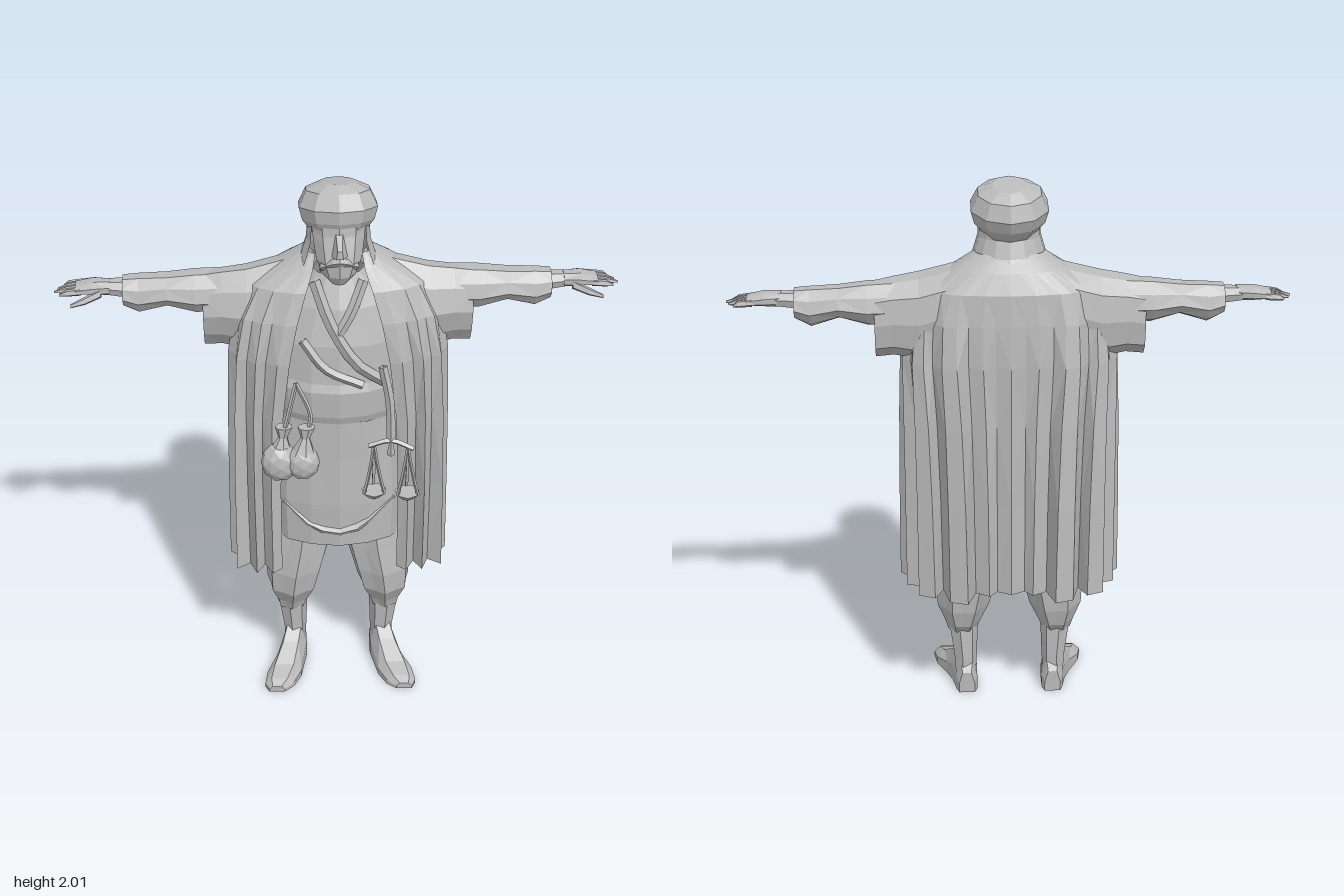
import * as THREE from 'three';

const cloth = new THREE.MeshStandardMaterial({ color: 0xbababa, side: THREE.DoubleSide });
cloth.name = 'plain grey';
const V = (x, y, z) => new THREE.Vector3(x, y, z);

// faceted mesh
function part(name, geo, parent) {
  const g = geo.index ? geo.toNonIndexed() : geo;
  g.computeVertexNormals();
  const m = new THREE.Mesh(g, cloth);
  m.name = name;
  parent.add(m);
  return m;
}

// skin between rows of points
function stitch(rows, closed = true, caps = true) {
  const pos = [], tri = (...p) => p.forEach(v => pos.push(v.x, v.y, v.z));
  const n = rows[0].length;
  for (let i = 0; i + 1 < rows.length; i++)
    for (let j = 0; j < (closed ? n : n - 1); j++) {
      const k = (j + 1) % n, a = rows[i][j], b = rows[i][k], c = rows[i + 1][k], d = rows[i + 1][j];
      if ((i + j) % 2) tri(a, b, c, a, c, d);
      else tri(a, b, d, b, c, d);
    }
  if (closed && caps) [rows[0], rows[rows.length - 1]].forEach((r, e) => {
    const mid = r.reduce((s, p) => s.add(p), V(0, 0, 0)).divideScalar(n);
    r.forEach((p, j) => { const q = r[(j + 1) % n]; e ? tri(mid, p, q) : tri(mid, q, p); });
  });
  const g = new THREE.BufferGeometry();
  g.setAttribute('position', new THREE.Float32BufferAttribute(pos, 3));
  return g;
}

// sections: [position on axis, centre u, radius u, centre v, radius v]
function loft(axis, sections, n = 8, pleat = 0, caps = true) {
  const rows = sections.map(([p, cu, ru, cv, rv]) => Array.from({ length: n }, (_, j) => {
    const a = (j + 0.5) / n * Math.PI * 2, f = 1 - (j % 2 ? pleat : 0);
    const u = cu + ru * f * Math.cos(a), s = rv * f * Math.sin(a);
    return axis === 'x' ? V(p, u, cv + s) : axis === 'y' ? V(u, p, cv - s) : V(u, cv + s, p);
  }));
  return stitch(rows, true, caps);
}

// sections given by limits: [position, u min, u max, v min, v max]
const span = (axis, list, n, pleat, caps) => loft(axis, list.map(([p, a, b, c, d]) =>
  [p, (a + b) / 2, (b - a) / 2, (c + d) / 2, (d - c) / 2]), n, pleat, caps);

const cord = (pts, r, sides = 4, steps = 8) =>
  new THREE.TubeGeometry(new THREE.CatmullRomCurve3(pts.map(p => V(...p))), steps, r, sides);

function mirrored(group, name, root) {
  group.name = 'left' + name;
  const other = group.clone();
  other.name = 'right' + name;
  other.scale.x = -1;
  root.add(group, other);
}

// outline of the pleated hem, from front edge to middle of the back
const HEM = [[.25, .06], [.215, .12], [.25, .15], [.28, .09], [.31, .145], [.335, .08], [.385, .115],
  [.365, .04], [.41, 0], [.365, -.05], [.385, -.1], [.325, -.12], [.34, -.19], [.28, -.215],
  [.25, -.15], [.225, -.25], [.16, -.272], [.13, -.18], [.08, -.21], [.05, -.175], [0, -.2]];

// levels: [y, half width, front z, back z, front edge x, pleat strength]
function coatGeometry() {
  const levels = [[.49, .385, .14, -.21, .22, 1], [.85, .385, .16, -.2, .21, .85], [1.15, .385, .17, -.2, .18, .65],
    [1.38, .385, .17, -.2, .15, .4], [1.53, .36, .145, -.19, .13, .2], [1.64, .31, .115, -.18, .11, .05],
    [1.71, .2, .08, -.15, .09, 0], [1.76, .12, .05, -.1, .08, 0]];
  const rows = levels.map(([y, w, zf, zb, edge, pleat]) => {
    const a0 = Math.acos(edge / w), last = HEM.length - 1, mid = (zf + zb) / 2, d = (zf - zb) / 2;
    const half = HEM.map(([hx, hz], i) => {
      const a = a0 + (-Math.PI / 2 - a0) * Math.max(0, i - 1) / (last - 1);
      const x = w * Math.cos(a) + (i ? 0 : .02);
      const s = Math.sin(a), z = mid + d * Math.sign(s) * Math.pow(Math.abs(s), .75) - (i ? 0 : .05);
      return V(x + (hx - x) * pleat, y, z + (hz - z) * pleat);
    });
    half[last].x = 0;
    return [...half, ...half.slice(0, last).reverse().map(p => V(-p.x, p.y, p.z))];
  });
  return stitch(rows, false);
}

function arm() {
  const g = new THREE.Group();
  part('wideSleeve', span('x', [[.14, 1.5, 1.735, -.13, .05], [.22, 1.4, 1.715, -.16, .07], [.32, 1.36, 1.69, -.155, .07],
    [.41, 1.38, 1.675, -.145, .05], [.475, 1.375, 1.662, -.14, .035]], 10, .06, false), g);
  part('innerSleeve', span('x', [[.38, 1.5, 1.665, -.13, .03], [.5, 1.5, 1.66, -.135, .03], [.6, 1.53, 1.648, -.13, .02],
    [.7, 1.5, 1.645, -.125, .01], [.755, 1.53, 1.64, -.12, .005]], 9, .06, false), g);
  part('forearm', span('x', [[.6, 1.55, 1.635, -.11, 0], [.75, 1.565, 1.63, -.1, -.01], [.82, 1.575, 1.628, -.095, -.02]], 7), g);
  part('palm', span('x', [[.8, 1.575, 1.63, -.09, -.015], [.86, 1.58, 1.63, -.11, -.005], [.92, 1.585, 1.617, -.108, -.005]], 8), g);
  [[-.094, .965], [-.07, .985], [-.045, .995], [-.02, .975]].forEach(([z, tip]) =>
    part('finger', span('x', [[.9, 1.586, 1.615, z - .014, z + .014], [.95, 1.583, 1.608, z - .013, z + .013],
      [tip, 1.585, 1.593, z - .006, z + .006]], 5), g));
  part('thumb', span('x', [[.83, 1.575, 1.61, -.04, -.005], [.885, 1.56, 1.59, -.015, .015], [.935, 1.555, 1.57, .008, .022]], 5), g);
  return g;
}

function leg() {
  const g = new THREE.Group();
  part('baggyTrouser', span('y', [[.25, .125, .235, -.05, .06], [.29, .11, .245, -.085, .08], [.36, .075, .275, -.11, .125],
    [.45, .05, .28, -.12, .135], [.56, .02, .27, -.12, .125], [.72, 0, .25, -.11, .11]], 14, .13), g);
  part('shin', span('y', [[.05, .13, .21, -.06, .04], [.14, .125, .215, -.06, .05], [.28, .12, .235, -.055, .06]], 7), g);
  // shoe with a flat sole, toes turned out
  const shoe = [[-.07, .135, .195, .085], [-.04, .125, .205, .13], [.03, .125, .22, .155], [.08, .135, .24, .11],
    [.16, .15, .28, .06], [.22, .18, .29, .04], [.25, .215, .275, .025]];
  part('shoe', stitch(shoe.map(([z, a, b, h]) => {
    const w = (b - a) * .22;
    return [V(a, 0, z), V(b, 0, z), V(b, h * .45, z), V(b - w, h, z), V(a + w, h, z), V(a, h * .45, z)];
  })), g);
  return g;
}

function head(root) {
  const g = new THREE.Group();
  g.name = 'head';
  root.add(g);
  part('neck', loft('y', [[1.6, 0, .08, -.02, .09], [1.7, 0, .065, 0, .065], [1.8, 0, .06, 0, .06]], 8), g);
  part('face', span('y', [[1.675, -.025, .025, .07, .115], [1.71, -.06, .06, .01, .138], [1.76, -.082, .082, -.04, .142],
    [1.81, -.09, .09, -.06, .125], [1.85, -.095, .095, -.07, .11], [1.9, -.1, .1, -.09, .105]], 10), g);
  part('nose', stitch([[V(-.03, 1.785, .115), V(.03, 1.785, .115), V(.012, 1.865, .1), V(-.012, 1.865, .1)],
    [V(-.012, 1.795, .165), V(.012, 1.795, .165), V(.008, 1.825, .163), V(-.008, 1.825, .163)]]), g);
  part('moustache', cord([[-.06, 1.74, .1], [0, 1.775, .142], [.06, 1.74, .1]], .014), g);
  // puffed cap, tipped back
  const cap = part('cap', loft('y', [[-.08, 0, .095, 0, .1], [-.035, 0, .13, 0, .13], [.01, 0, .142, 0, .142],
    [.065, 0, .115, 0, .115], [.09, 0, .06, 0, .07]], 10), g);
  cap.position.set(0, 1.908, -.02);
  cap.rotation.x = -.2;
  // cloth falling from the cap to the shoulders
  const rows = [[1.69, .155, -.155], [1.75, .13, -.115], [1.81, .112, -.095], [1.88, .108, -.1]].map(([y, w, back]) =>
    Array.from({ length: 11 }, (_, i) => {
      const a = .55 - (Math.PI + 1.1) * i / 10;
      return V(w * Math.cos(a), y, Math.sin(a) > 0 ? Math.sin(a) * .1 : -back * Math.sin(a));
    }));
  part('neckCloth', stitch(rows, false), g);
}

function pouches(root) {
  const g = new THREE.Group();
  g.name = 'beltPouches';
  root.add(g);
  [[-.215, 1.02, .2, .07], [-.135, 1.025, .215, .062]].forEach(([x, y, z, r]) => {
    const bag = part('pouch', new THREE.IcosahedronGeometry(1, 1), g);
    bag.scale.set(r, r * 1.1, r * .8);
    bag.position.set(x, y, z);
    part('pouchNeck', loft('y', [[y + .04, x, .045, z, .04], [y + .1, x + .01, .016, z - .005, .016],
      [y + .14, x + .015, .032, z - .01, .026]], 7), g);
    part('pouchCord', cord([[x + .01, y + .1, z], [x + .03, 1.2, .19], [-.155, 1.32, .165]], .008), g);
  });
}

function scales(root) {
  const g = new THREE.Group();
  g.name = 'balanceScales';
  root.add(g);
  part('strap', cord([[.15, 1.38, .165], [.175, 1.25, .18], [.18, 1.1, .2]], .016), g);
  part('beam', cord([[.1, 1.08, .205], [.18, 1.1, .205], [.26, 1.07, .215]], .01), g);
  part('pointer', new THREE.ConeGeometry(.015, .09, 4).translate(.18, 1.09, .21), g);
  [[.12, .885, .215, 1.08], [.24, .885, .23, 1.075]].forEach(([x, y, z, top]) => {
    part('pan', new THREE.CylinderGeometry(.046, .022, .026, 7).translate(x, y, z), g);
    for (let i = 0; i < 3; i++) {
      const a = i * Math.PI * 2 / 3 + .5;
      part('panCord', cord([[x + .042 * Math.cos(a), y + .01, z + .042 * Math.sin(a)],
        [x + .018 * Math.cos(a), y + .1, z + .018 * Math.sin(a)], [x, top, z - .015]], .007, 3, 3), g);
    }
  });
}

export function createModel() {
  const root = new THREE.Group();
  root.name = 'robedMerchant';
  part('coat', coatGeometry(), root);
  part('tunic', span('y', [[.62, -.245, .245, -.12, .165], [.8, -.25, .25, -.12, .17], [1, -.24, .24, -.13, .165],
    [1.17, -.22, .22, -.13, .165], [1.3, -.23, .23, -.14, .17], [1.45, -.24, .24, -.15, .155], [1.58, -.19, .19, -.14, .12],
    [1.69, -.09, .09, -.09, .07]], 14, .015, false), root);
  part('sash', span('y', [[1.15, -.222, .222, -.13, .168], [1.18, -.23, .23, -.13, .178], [1.28, -.235, .235, -.13, .182],
    [1.31, -.23, .23, -.13, .17]], 14, 0, false), root);
  // crossed collar and draped folds
  part('collarOver', cord([[-.085, 1.67, .07], [-.03, 1.53, .137], [.06, 1.39, .165], [.16, 1.31, .145]], .02), root);
  part('collarUnder', cord([[.085, 1.67, .07], [.04, 1.57, .12], [-.01, 1.49, .145]], .018), root);
  part('chestFold', cord([[-.13, 1.47, .13], [-.05, 1.37, .16], [.08, 1.31, .17]], .016), root);
  part('skirtFold', cord([[-.2, .79, .1], [-.09, .7, .15], [.04, .69, .165], [.2, .8, .1]], .016), root);

  mirrored(arm(), 'Arm', root);
  mirrored(leg(), 'Leg', root);
  head(root);
  pouches(root);
  scales(root);
  return root;
}
